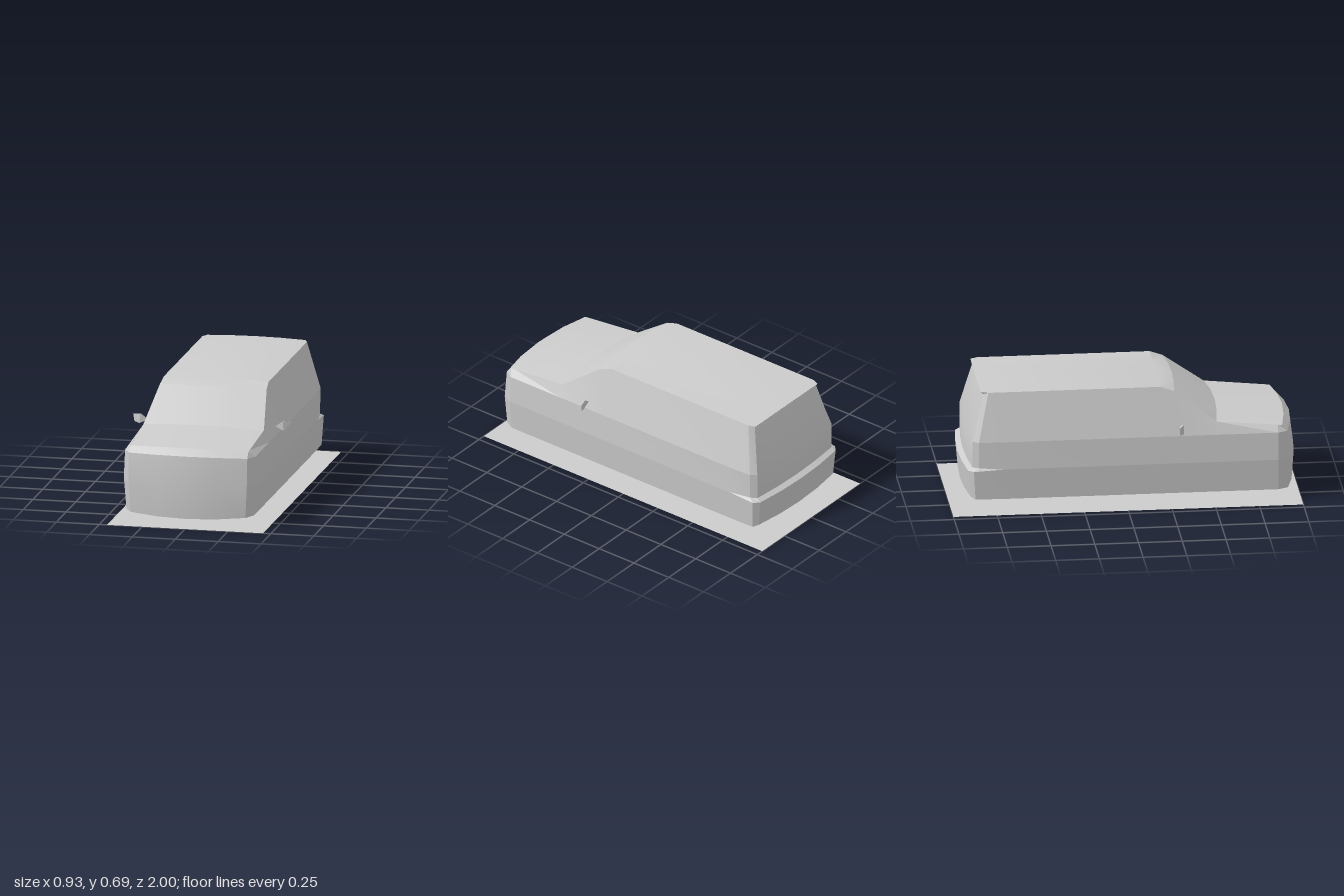
import * as THREE from 'three';
import { toCreasedNormals } from 'three/addons/utils/BufferGeometryUtils.js';
import { ConvexGeometry } from 'three/addons/geometries/ConvexGeometry.js';

const material = new THREE.MeshStandardMaterial({ color: 0xcccccc, side: THREE.DoubleSide });

function addMesh(parent, name, geometry) {
  const mesh = new THREE.Mesh(geometry, material);
  mesh.name = name;
  parent.add(mesh);
}

// Surface through rows of [x, y, z] points
function sheet(rows) {
  const n = rows[0].length;
  const index = [];
  for (let r = 0; r < rows.length - 1; r++) {
    for (let c = 0; c < n - 1; c++) {
      const a = r * n + c, d = a + n;
      index.push(a, a + 1, d, a + 1, d + 1, d);
    }
  }
  const geometry = new THREE.BufferGeometry();
  geometry.setAttribute('position', new THREE.Float32BufferAttribute(rows.flat(2), 3));
  geometry.setIndex(index);
  return toCreasedNormals(geometry, 0.3);
}

// Cross-car rows: [half width, edge y, edge z, centre y, centre z], bowed between the edges
const bow = ([w, ye, ze, yc, zc]) => [-1, -0.5, 0, 0.5, 1].map((u) => {
  const k = 1 - u * u;
  return [u * w, ye + (yc - ye) * k, ze + (zc - ze) * k];
});

export function createModel() {
  const model = new THREE.Group();
  model.name = 'van';

  // Ground plate
  const plate = new THREE.PlaneGeometry(0.91, 2);
  plate.rotateX(-Math.PI / 2);
  addMesh(model, 'groundPlate', plate);

  // Rows shared by neighbouring panels
  const noseTop = [0.345, 0.41, 0.92, 0.415, 0.965];
  const hoodFront = [0.345, 0.445, 0.89, 0.455, 0.925];
  const screenBase = [0.35, 0.482, 0.515, 0.497, 0.54];
  const screenTop = [0.311, 0.66, 0.275, 0.668, 0.295];
  const roofFront = [0.305, 0.687, 0.2, 0.694, 0.2];
  const roofSideEnd = [0.305, 0.687, -0.785, 0.694, -0.785];
  const roofRear = [0.285, 0.687, -0.825, 0.693, -0.83];
  const hatchTop = [0.28, 0.672, -0.812, 0.677, -0.815];
  const hatchBase = [0.345, 0.255, -0.88, 0.255, -0.9];
  const bumperTop = [0.35, 0.238, -0.905, 0.238, -0.93];

  // Front-to-back panels across the car
  const panels = {
    nose: [[0.335, 0.065, 0.925, 0.053, 0.975], [0.345, 0.24, 0.935, 0.232, 0.988], noseTop, hoodFront],
    hood: [hoodFront, screenBase],
    windscreen: [screenBase, screenTop],
    roof: [screenTop, roofFront, roofSideEnd, roofRear],
    roofLip: [roofRear, hatchTop],
    tailgate: [hatchTop, [0.345, 0.41, -0.88, 0.41, -0.895], hatchBase],
    rearBumper: [hatchBase, bumperTop, [0.345, 0.08, -0.89, 0.075, -0.915]],
  };
  for (const [name, rows] of Object.entries(panels)) addMesh(model, name, sheet(rows.map(bow)));

  // Flank stations from nose corner to tail corner; the middle ones share a section
  const long = [0.865, 0.515, 0.275, 0.2, -0.71];
  const flank = (x, y) => long.map((z) => [x, y, z]);
  const bottom = [[0.335, 0.065, 0.925], ...flank(0.372, 0.068), [0.372, 0.07, -0.865], [0.345, 0.08, -0.89]];
  const ledgeLow = [[0.345, 0.24, 0.935], ...flank(0.387, 0.25), [0.383, 0.24, -0.875], [0.35, 0.238, -0.905]];
  const ledgeHigh = [[0.345, 0.24, 0.935], ...flank(0.387, 0.252), [0.368, 0.257, -0.845], [0.345, 0.255, -0.88]];
  const belt = [[0.345, 0.41, 0.92], ...flank(0.38, 0.412), [0.37, 0.41, -0.845], [0.345, 0.41, -0.88]];
  const top = [[0.345, 0.445, 0.89], [0.346, 0.448, 0.865], [0.35, 0.482, 0.515], [0.311, 0.66, 0.275],
    [0.305, 0.687, 0.2], [0.305, 0.687, -0.71], [0.305, 0.687, -0.785], [0.28, 0.672, -0.812]];
  const sides = { lowerSide: [bottom, ledgeLow], bumperLedge: [ledgeLow, ledgeHigh],
    doorSide: [ledgeHigh, belt], windowSide: [belt, top] };

  // Wing mirror: a faceted blade with a pointed root
  const blade = [[0.37, 0.458, 0.312], [0.415, 0.491, 0.322], [0.42, 0.436, 0.322], [0.463, 0.484, 0.292],
    [0.455, 0.441, 0.297], [0.415, 0.488, 0.304], [0.42, 0.438, 0.306]];

  for (const s of [1, -1]) {
    const group = new THREE.Group();
    group.name = s > 0 ? 'leftSide' : 'rightSide';
    const flip = ([x, y, z]) => [s * x, y, z];
    for (const [name, rows] of Object.entries(sides)) {
      const points = rows.map((row) => (s > 0 ? row : [...row].reverse()).map(flip));
      addMesh(group, name, sheet(points));
    }
    addMesh(group, 'wingMirror', new ConvexGeometry(blade.map((p) => new THREE.Vector3(...flip(p)))));
    model.add(group);
  }
  return model;
}
